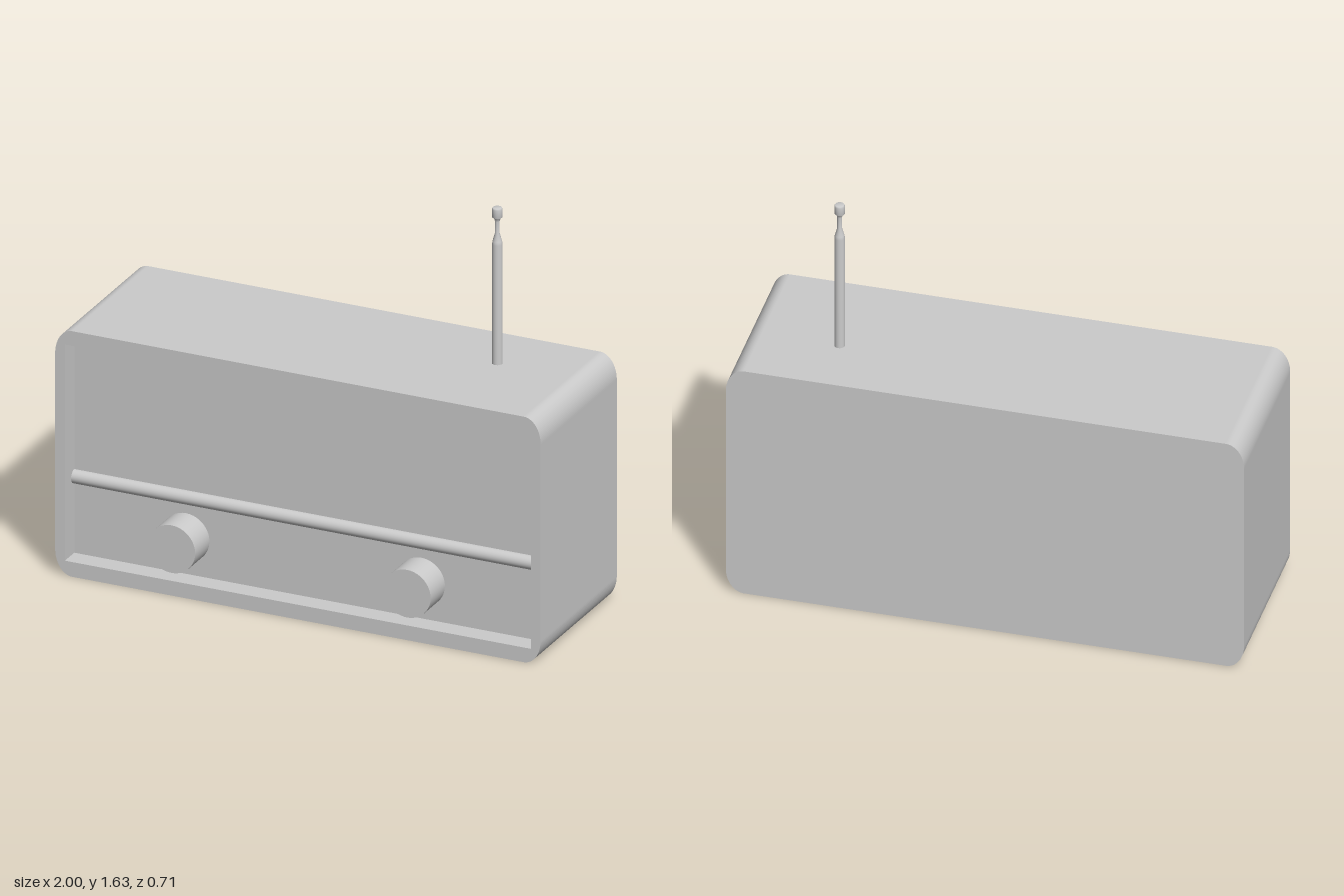
import * as THREE from 'three';

const material = new THREE.MeshStandardMaterial({ color: 0xcccccc });

function addPart(group, name, geometry, x = 0, y = 0, z = 0) {
  const mesh = new THREE.Mesh(geometry, material);
  mesh.name = name;
  mesh.position.set(x, y, z);
  group.add(mesh);
  return mesh;
}

// Rectangle with elliptical corners, standing on y = 0
function cabinetShape(halfWidth, height, rx, ry) {
  const shape = new THREE.Shape();
  const corners = [
    [halfWidth - rx, ry, -Math.PI / 2],
    [halfWidth - rx, height - ry, 0],
    [-halfWidth + rx, height - ry, Math.PI / 2],
    [-halfWidth + rx, ry, Math.PI],
  ];
  shape.moveTo(-halfWidth + rx, 0);
  for (const [x, y, start] of corners) {
    shape.absellipse(x, y, rx, ry, start, start + Math.PI / 2, false, 0);
  }
  return shape;
}

export function createModel() {
  const radio = new THREE.Group();
  radio.name = 'radio';

  const back = -0.355, panel = 0.23, front = 0.312;
  const extrude = (shape, depth) =>
    new THREE.ExtrudeGeometry(shape, { depth, bevelEnabled: false, curveSegments: 12 });

  // Solid cabinet up to the recessed front panel
  addPart(radio, 'cabinet', extrude(cabinetShape(1, 1, 0.07, 0.1), panel - back), 0, 0, back);

  // Raised rim around the panel
  const rim = cabinetShape(1, 1, 0.07, 0.1);
  rim.holes.push(new THREE.Path([
    new THREE.Vector2(-0.96, 0.06),
    new THREE.Vector2(-0.96, 0.94),
    new THREE.Vector2(0.96, 0.94),
    new THREE.Vector2(0.96, 0.06),
  ]));
  addPart(radio, 'frontRim', extrude(rim, front - panel), 0, 0, panel);

  // Round bar dividing the panel
  const bar = addPart(radio, 'dividerBar',
    new THREE.CylinderGeometry(0.028, 0.028, 1.92, 24), 0, 0.373, panel);
  bar.rotation.z = Math.PI / 2;

  // Two control knobs
  for (const [name, x] of [['rightKnob', -0.5], ['leftKnob', 0.47]]) {
    const knob = addPart(radio, name,
      new THREE.CylinderGeometry(0.097, 0.097, 0.125, 40), x, 0.21, 0.2925);
    knob.rotation.x = Math.PI / 2;
  }

  // Telescopic antenna with a narrow neck and a capped tip
  const profile = [
    [0.02, 0.98], [0.02, 1.485], [0.018, 1.498], [0.009, 1.53], [0.009, 1.578],
    [0.012, 1.59], [0.02, 1.596], [0.02, 1.628], [0.017, 1.634], [0, 1.634],
  ].map(([r, y]) => new THREE.Vector2(r, y));
  addPart(radio, 'antenna', new THREE.LatheGeometry(profile, 24), 0.63, 0, -0.095);

  return radio;
}
